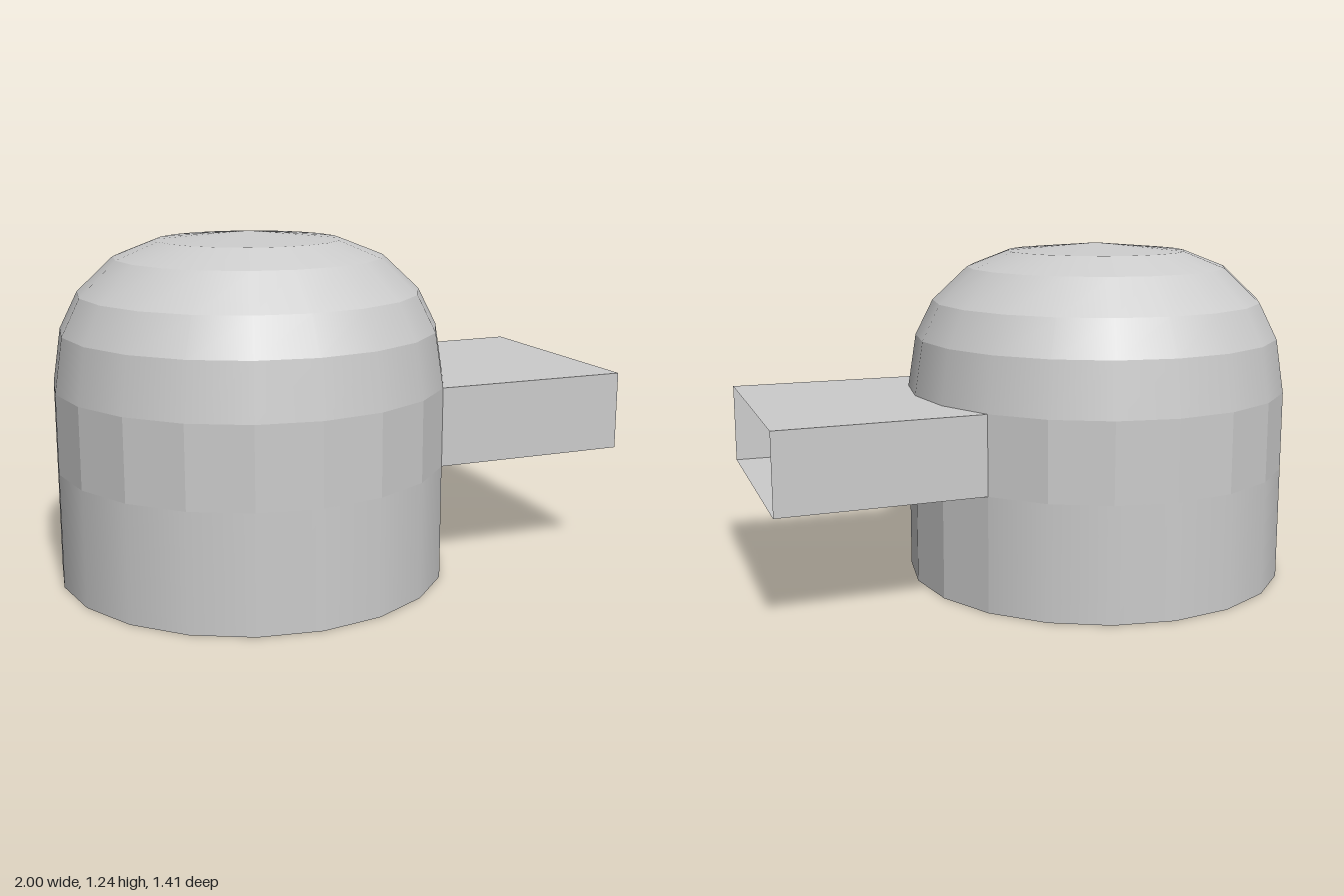
import * as THREE from 'three';

const SIDES = 20, STEP = (Math.PI * 2) / SIDES;
const R = 0.705, CX = -0.295;           // drum radius and axis
const LOW = 0.415, HIGH = 0.7;          // height range of the duct
const smooth = new THREE.MeshStandardMaterial({ color: 0xcccccc, side: THREE.DoubleSide });
const flat = new THREE.MeshStandardMaterial({ color: 0xcccccc, side: THREE.DoubleSide, flatShading: true });

export function createModel() {
  const model = new THREE.Group();
  model.name = 'drumWithDuct';

  const add = (name, geometry, material) => {
    const mesh = new THREE.Mesh(geometry, material);
    mesh.name = name;
    model.add(mesh);
    return mesh;
  };

  // One open ring of wall, covering `count` sides from side number `first`
  const ring = (name, r0, y0, r1, y1, material, first = 0, count = SIDES) => {
    const g = new THREE.CylinderGeometry(r1, r0, y1 - y0, count, 1, true, first * STEP, count * STEP);
    add(name, g, material).position.set(CX, (y0 + y1) / 2, 0);
  };

  // Drum wall: the four sides facing +x are left open where the duct joins
  ring('lowerWall', R, 0, R, LOW, smooth, 7, 16);
  ring('wallBelowDuct', R, 0, R, LOW, flat, 3, 4);
  ring('wallAroundDuct', R, LOW, R, HIGH, flat, 7, 16);

  // Rounded dome in creased rings, ending in a shallow cap
  const dome = [[R, HIGH], [0.675, 0.895], [0.61, 1.025], [0.48, 1.148], [0.33, 1.207], [0, 1.235]];
  for (let i = 0; i < dome.length - 1; i++) {
    const last = i === dome.length - 2;
    ring(last ? 'domeCap' : 'domeRing' + (i + 1), ...dome[i], ...dome[i + 1], smooth);
  }

  // Closed floor
  const floor = add('floor', new THREE.CircleGeometry(R, SIDES), smooth);
  floor.rotation.x = Math.PI / 2;
  floor.position.x = CX;

  // Duct: plates that follow the drum's sides at the root and widen to the mouth
  const mouth = 0.428;
  const root = [];
  for (let i = -2; i <= 2; i++) root.push([CX + R * Math.cos(i * STEP), R * Math.sin(i * STEP)]);
  const outline = new THREE.Shape();
  outline.moveTo(1, -mouth);
  outline.lineTo(1, mouth);
  for (const [x, z] of [...root].reverse()) outline.lineTo(x, z);
  outline.closePath();
  for (const [name, y, turn] of [['ductTop', HIGH, -1], ['ductBottom', LOW, 1]]) {
    const plate = add(name, new THREE.ShapeGeometry(outline), flat);
    plate.rotation.x = (turn * Math.PI) / 2;
    plate.position.y = y;
  }

  // Duct side walls
  const [rx, rz] = root[4];
  for (const s of [1, -1]) {
    const length = Math.hypot(1 - rx, mouth - rz);
    const wall = add(s > 0 ? 'ductFrontWall' : 'ductBackWall', new THREE.PlaneGeometry(length, HIGH - LOW), flat);
    wall.position.set((1 + rx) / 2, (LOW + HIGH) / 2, (s * (mouth + rz)) / 2);
    const tilt = Math.atan2(mouth - rz, 1 - rx);
    wall.rotation.y = s > 0 ? -tilt : Math.PI + tilt;
  }

  return model;
}
